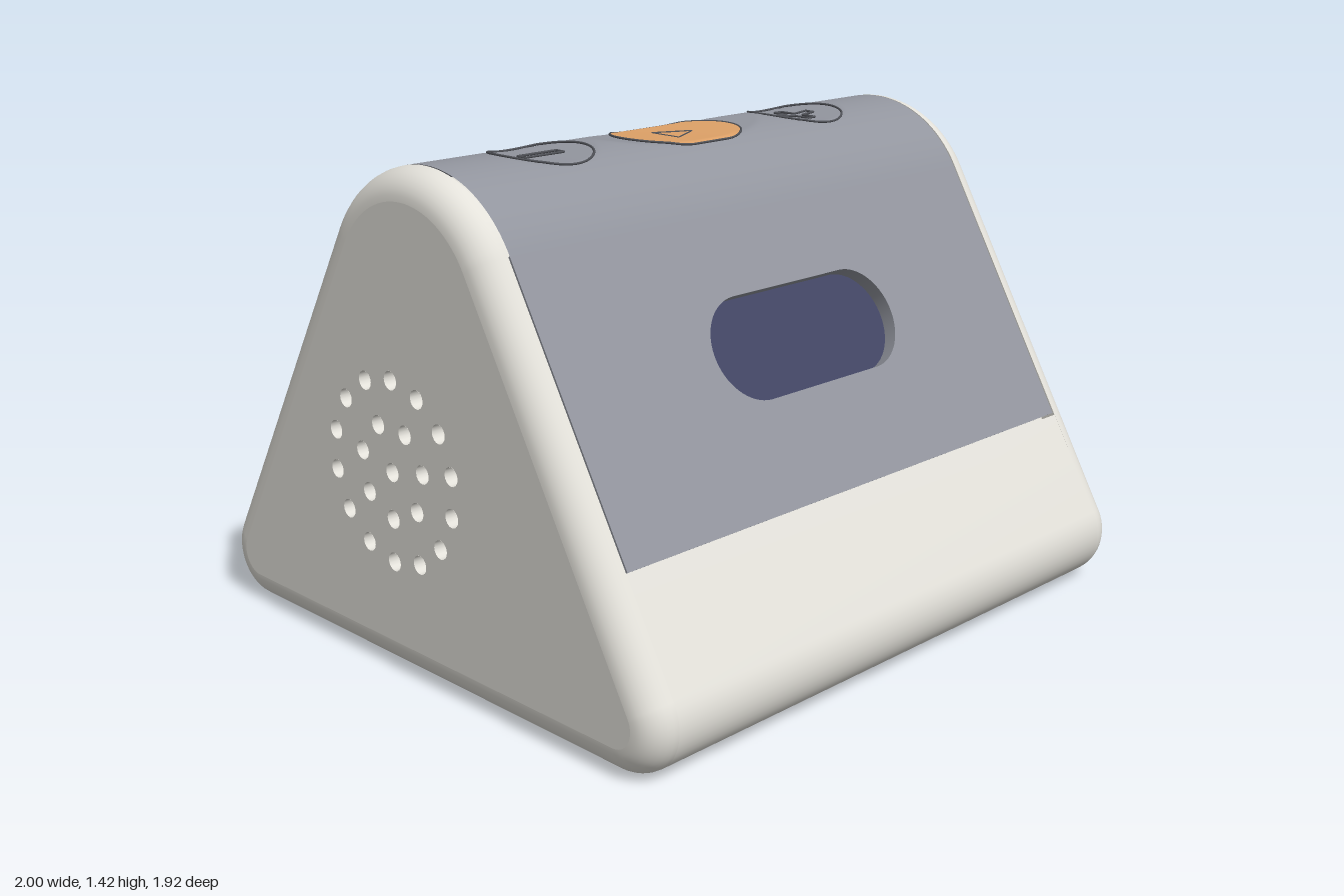
import * as THREE from 'three';
import { toCreasedNormals } from 'three/addons/utils/BufferGeometryUtils.js';

const RAD = Math.PI / 180;
const TOP = { z: 0, y: 1.045, r: 0.375 };
const FRONT = { z: 0.777, y: 0.15, r: 0.15 };
const BACK = { z: -0.777, y: 0.15, r: 0.15 };
const SKIN = 0.045;   // cover thickness
const HALF = 0.91;    // cover half width
const SEAM = 0.915;   // where the end cheeks start

const material = (name, color, side = THREE.FrontSide) => {
  const m = new THREE.MeshStandardMaterial({ color, side });
  m.name = name;
  return m;
};

// Points [z, y] on a corner arc of the rounded triangular profile
function arc(c, from, to, inset = 0, n = 16) {
  return Array.from({ length: n + 1 }, (_, i) => {
    const a = (from + (to - from) * i / n) * RAD;
    return [c.z + (c.r - inset) * Math.cos(a), c.y + (c.r - inset) * Math.sin(a)];
  });
}
const profile = inset => [
  ...arc(FRONT, -90, 30, inset), ...arc(TOP, 30, 150, inset, 32), ...arc(BACK, 150, 270, inset)];

// Point on a sloping side (s = 1 front, -1 back) at height y, sunk by inset
const slope = (s, y, inset = 0) => [
  s * ((0.8975 - 0.5 * y) / 0.866 - 0.866 * inset), y - 0.5 * inset];

const shapeOf = pts => new THREE.Shape(pts.map(p => new THREE.Vector2(p[0], p[1])));

// Extrude a [z, y] outline symmetrically along x
function extrudeX(pts, half) {
  const g = new THREE.ExtrudeGeometry(shapeOf(pts), { depth: 2 * half, bevelEnabled: false });
  return toCreasedNormals(g.rotateY(-Math.PI / 2).translate(half, 0, 0), 0.5);
}

// Height of the crown, with three shallow dishes for the buttons
const dishes = [[0, 0.32], [-0.52, 0.17], [0.52, 0.17]];
function crownY(x, z) {
  let y = TOP.y + Math.sqrt(Math.max(0, TOP.r ** 2 - z * z));
  for (const [cx, w] of dishes) y = Math.min(y, 1.395 + 0.025 * ((x - cx) / w) ** 2);
  return y;
}

// Stadium (or circle) outline around (cx, 0)
function stadium(cx, flat, r, n = 64) {
  return Array.from({ length: n }, (_, i) => {
    const a = (i + 0.5) / n * 2 * Math.PI;
    return [cx + Math.sign(Math.cos(a)) * flat + r * Math.cos(a), r * Math.sin(a)];
  });
}

// Thin line draped over the crown along a closed [x, z] outline
function drapedLine(pts) {
  const path = new THREE.CatmullRomCurve3(
    pts.map(([x, z]) => new THREE.Vector3(x, crownY(x, z) + 0.003, z)), true, 'catmullrom', 0);
  return new THREE.TubeGeometry(path, 160, 0.0035, 6, true);
}

export function createModel() {
  const model = new THREE.Group();
  model.name = 'tabletopSpeaker';
  const body = new THREE.Group();
  body.name = 'speakerBody';
  body.position.z = 0.035;
  model.add(body);

  const cream = material('cream shell', 0xe3e1da, THREE.DoubleSide);
  const gray = material('gray cover', 0x92959e, THREE.DoubleSide);
  const orange = material('orange button', 0xdea167);
  const navy = material('navy window', 0x424564);
  const dark = material('dark groove', 0x505258);

  const add = (name, geometry, mat, parent = body) => {
    const mesh = new THREE.Mesh(geometry, mat);
    mesh.name = name;
    parent.add(mesh);
    return mesh;
  };

  // Middle of the shell, recessed under the cover
  add('shellMiddle', extrudeX([
    ...arc(FRONT, -90, 30), slope(1, 0.504), slope(1, 0.504, 0.05),
    ...arc(TOP, 30, 150, 0.05, 32),
    slope(-1, 0.369, 0.05), slope(-1, 0.369), ...arc(BACK, 150, 270)], SEAM), cream);

  // Speaker holes: two rings and a centre hole, as [z, y]
  const holes = [[-0.08, 0.585]];
  for (const [count, r] of [[14, 0.26], [7, 0.135]])
    for (let i = 0; i < count; i++) {
      const a = i / count * 2 * Math.PI + 0.2;
      holes.push([-0.08 + r * Math.cos(a), 0.585 + r * Math.sin(a)]);
    }

  // End cheek with a rounded rim, facing -x
  function cheek(name, holeList) {
    const group = new THREE.Group();
    group.name = name;
    const R = 1 - SEAM, steps = 8, pos = [], idx = [];
    let n = 0;
    for (let k = 0; k <= steps; k++) {
      const a = k / steps * Math.PI / 2;
      const ring = profile(R * (1 - Math.cos(a)));
      n = ring.length;
      for (const [z, y] of ring) pos.push(-SEAM - R * Math.sin(a), y, z);
    }
    for (let k = 0; k < steps; k++)
      for (let j = 0; j < n; j++) {
        const j2 = (j + 1) % n, p = k * n, q = p + n;
        idx.push(p + j, p + j2, q + j, p + j2, q + j2, q + j);
      }
    const rim = new THREE.BufferGeometry();
    rim.setAttribute('position', new THREE.Float32BufferAttribute(pos, 3));
    rim.setIndex(idx);
    rim.computeVertexNormals();
    add('roundedRim', rim, cream, group);

    const face = shapeOf(profile(R));
    for (const [z, y] of holeList) {
      face.holes.push(new THREE.Path().absarc(z, y, 0.027, 0, 2 * Math.PI, true));
      const wall = new THREE.CylinderGeometry(0.027, 0.027, 0.04, 16, 1, true).rotateZ(Math.PI / 2);
      add('speakerHoleWall', wall.translate(-0.98, y, z), cream, group);
    }
    add('sideFace', new THREE.ShapeGeometry(face, 16).rotateY(-Math.PI / 2).translate(-1, 0, 0), cream, group);
    add('innerFace', new THREE.ShapeGeometry(shapeOf(profile(0))).rotateY(Math.PI / 2)
      .translate(-SEAM, 0, 0), cream, group);
    if (holeList.length) add('speakerBacking', new THREE.CircleGeometry(0.32, 32)
      .rotateY(-Math.PI / 2).translate(-0.96, 0.585, -0.08), cream, group);
    body.add(group);
    return group;
  }
  cheek('rightCheek', holes);
  cheek('leftCheek', []).rotation.y = Math.PI;

  // Flat cover plates on the two slopes, the front one with a window slot
  function plate(name, bottomY, slot) {
    const length = (1.2325 - bottomY) / 0.866;
    const s = shapeOf([[-HALF, 0], [HALF, 0], [HALF, length], [-HALF, length]]);
    if (slot) s.holes.push(new THREE.Path(
      stadium(0, 0.22, 0.15).reverse().map(([x, v]) => new THREE.Vector2(x, v + 0.45))));
    const g = new THREE.ExtrudeGeometry(s, { depth: SKIN, bevelEnabled: false });
    const [z, y] = slope(1, bottomY, SKIN);
    g.rotateX(-30 * RAD).translate(0, y, z);
    return add(name, toCreasedNormals(g, 0.5), gray);
  }
  plate('frontCover', 0.51, true);
  plate('backCover', 0.375, false).rotation.y = Math.PI;

  // Display window at the bottom of the slot
  const [wz, wy] = slope(1, 0.51 + 0.45 * 0.866, SKIN - 0.002);
  add('displayWindow', new THREE.PlaneGeometry(0.8, 0.36).rotateX(-30 * RAD)
    .translate(0, wy, wz), navy);

  // Curved crown of the cover
  const crown = new THREE.PlaneGeometry(2 * HALF, 1, 182, 48);
  const cp = crown.attributes.position;
  for (let i = 0; i < cp.count; i++) {
    const x = cp.getX(i), z = -TOP.r * Math.sin(cp.getY(i) * 120 * RAD);
    cp.setXYZ(i, x, crownY(x, z), z);
  }
  crown.computeVertexNormals();
  add('crownCover', crown, gray);

  // Play button, draped into the middle dish
  const button = new THREE.RingGeometry(0, 1, 64, 12);
  const bp = button.attributes.position;
  for (let i = 0; i < bp.count; i++) {
    const u = bp.getX(i), v = bp.getY(i);
    const x = 0.145 * u + 0.065 * Math.sign(u) * Math.hypot(u, v), z = -0.145 * v;
    bp.setXYZ(i, x, crownY(x, z) + 0.004, z);
  }
  button.computeVertexNormals();
  add('playButton', button, orange);

  // Button outlines and symbols
  const a = 0.07, b = 0.016;
  add('playButtonOutline', drapedLine(stadium(0, 0.065, 0.145)), dark);
  add('playSymbol', drapedLine([[-0.045, -0.055], [0.065, 0], [-0.045, 0.055]]), dark);
  add('minusButtonOutline', drapedLine(stadium(-0.52, 0, 0.145)), dark);
  add('plusButtonOutline', drapedLine(stadium(0.52, 0, 0.145)), dark);
  add('minusSymbol', drapedLine([[-a, -b], [a, -b], [a, b], [-a, b]].map(([x, z]) => [x - 0.52, z])), dark);
  add('plusSymbol', drapedLine([
    [-a, -b], [-b, -b], [-b, -a], [b, -a], [b, -b], [a, -b],
    [a, b], [b, b], [b, a], [-b, a], [-b, b], [-a, b]].map(([x, z]) => [x + 0.52, z])), dark);

  // Tab of the back cover with its surrounding seam, wrapped over the lower corner
  const band = (lift, y, end) => [
    slope(-1, y, -lift), ...arc(BACK, 150, end, -lift),
    ...arc(BACK, 150, end, 0.02).reverse(), slope(-1, y, 0.02)];
  add('tabSeam', extrudeX(band(0.002, 0.368, 204), 0.212), dark);
  add('backTab', extrudeX(band(0.004, 0.38, 200), 0.203), gray);

  // Catch on the tab
  const clip = add('tabCatch', new THREE.BoxGeometry(0.285, 0.055, 0.06), gray);
  clip.position.set(0, 0.178, -0.957);
  clip.rotation.x = 30 * RAD;

  return model;
}
